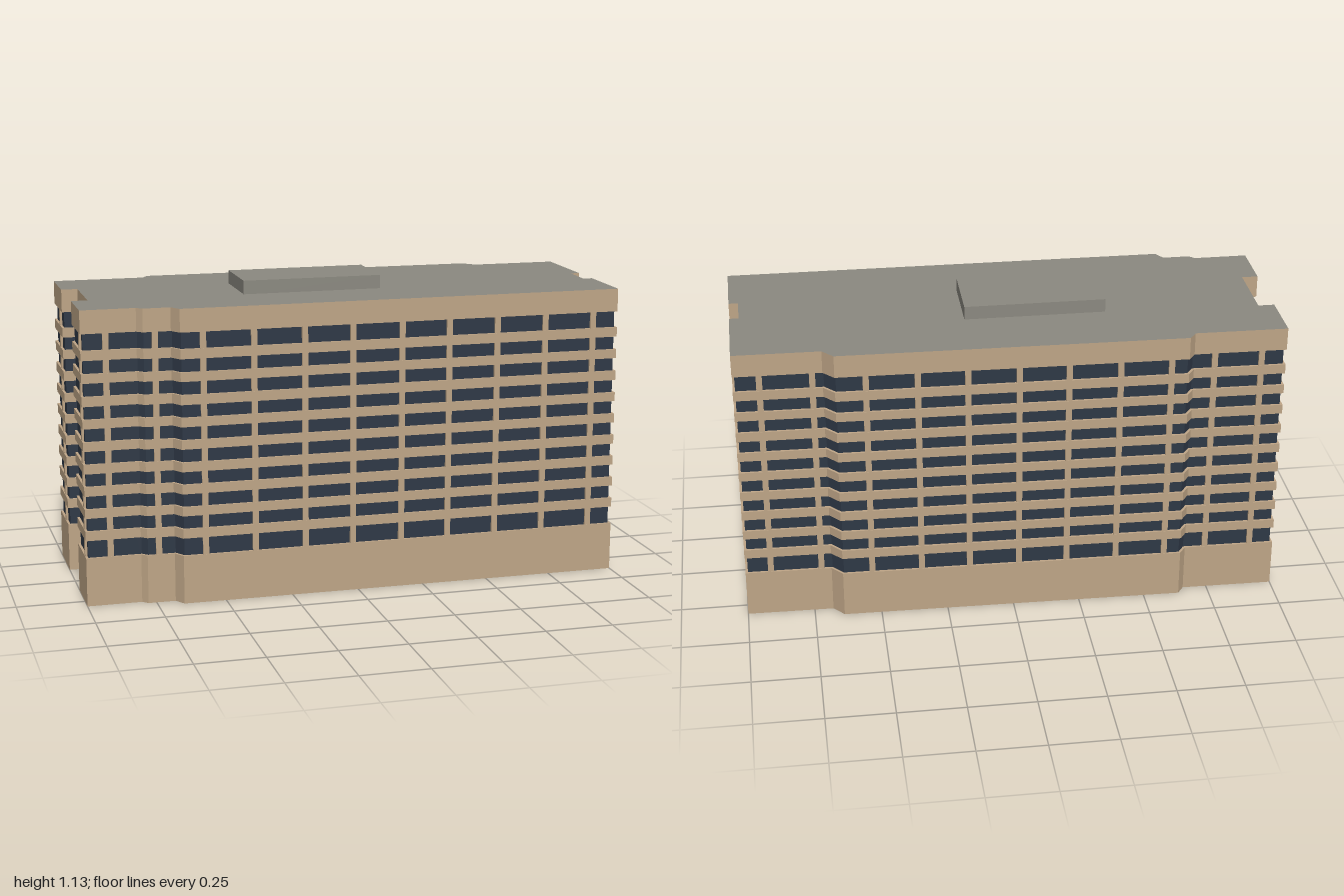
import * as THREE from 'three';

// Plan outline as [x, z], starting at the front right corner of the drawing
const outline = [
  [-1, 0.31], [-0.8, 0.31], [-0.78, 0.33], [-0.68, 0.33], [-0.655, 0.37], [1, 0.378],
  [1, 0.125], [0.965, 0.125], [0.965, -0.005], [1, -0.005], [1, -0.31], [0.68, -0.315],
  [0.64, -0.36], [-0.635, -0.38], [-0.66, -0.345], [-1, -0.35],
  [-1, -0.145], [-0.94, -0.145], [-0.94, 0.11], [-1, 0.11],
];

// Bottom and top of each window row
const rows = [
  [0.18, 0.245], [0.28, 0.328], [0.362, 0.41], [0.445, 0.492], [0.527, 0.575],
  [0.609, 0.657], [0.691, 0.738], [0.774, 0.822], [0.856, 0.904], [0.94, 1.0],
];
const roofY = 1.085;

// Moves every edge of the outline inwards by d, with mitred corners
function inset(points, d) {
  const n = points.length;
  const normal = (a, b) => {
    const dx = b[0] - a[0], dz = b[1] - a[1], l = Math.hypot(dx, dz);
    return [dz / l, -dx / l];
  };
  return points.map((p, i) => {
    const a = normal(points[(i + n - 1) % n], p);
    const b = normal(p, points[(i + 1) % n]);
    const k = d / (1 + a[0] * b[0] + a[1] * b[1]);
    return [p[0] + (a[0] + b[0]) * k, p[1] + (a[1] + b[1]) * k];
  });
}

// Upright prism over a plan
function prism(points, y0, y1) {
  const shape = new THREE.Shape(points.map(([x, z]) => new THREE.Vector2(x, -z)));
  const geo = new THREE.ExtrudeGeometry(shape, { depth: y1 - y0, bevelEnabled: false });
  return geo.rotateX(-Math.PI / 2).translate(0, y0, 0);
}

// Extent of the plan along the other axis, where the given axis equals v
function span(axis, v) {
  const hits = [];
  outline.forEach((p, i) => {
    const q = outline[(i + 1) % outline.length];
    if ((p[axis] - v) * (q[axis] - v) >= 0) return;
    const t = (v - p[axis]) / (q[axis] - p[axis]);
    hits.push(p[1 - axis] + t * (q[1 - axis] - p[1 - axis]));
  });
  return [Math.min(...hits), Math.max(...hits)];
}

export function createModel() {
  const wall = new THREE.MeshStandardMaterial({ name: 'tan wall', color: 0xbea586 });
  const glass = new THREE.MeshStandardMaterial({ name: 'dark glass', color: 0x2e3846 });
  const roof = new THREE.MeshStandardMaterial({ name: 'grey roof', color: 0x8b8980 });

  const model = new THREE.Group();
  model.name = 'officeBlock';
  const add = (name, geo, mat, parent = model) => {
    const mesh = new THREE.Mesh(geo, mat);
    mesh.name = name;
    parent.add(mesh);
    return mesh;
  };

  // Solid base and recessed glass core
  add('base', prism(outline, 0, rows[0][0]), wall);
  add('windowCore', prism(inset(outline, 0.009), 0.17, 1.01), glass);

  // Wall bands between the window rows
  const bands = new THREE.Group();
  bands.name = 'floorBands';
  model.add(bands);
  for (let i = 0; i < rows.length - 1; i++) {
    add('floorBand', prism(outline, rows[i][1], rows[i + 1][0]), wall, bands);
  }

  // Pillars, each built as a cross wall that shows at both opposite faces
  const pillars = new THREE.Group();
  pillars.name = 'pillars';
  model.add(pillars);
  const y0 = rows[0][0], y1 = 1.0, width = 0.022;
  const addPillars = (axis, positions) => positions.forEach((v) => {
    const [a, b] = span(axis, v);
    const length = b - a - 0.002, mid = (a + b) / 2;
    const geo = axis === 0
      ? new THREE.BoxGeometry(width, y1 - y0, length)
      : new THREE.BoxGeometry(length, y1 - y0, width);
    const mesh = add(axis === 0 ? 'longSidePillar' : 'endPillar', geo, wall, pillars);
    mesh.position.set(axis === 0 ? v : mid, (y0 + y1) / 2, axis === 0 ? mid : v);
  });
  addPillars(0, [-0.91, -0.737, -0.572, -0.387, -0.2, -0.02, 0.165, 0.345, 0.53, 0.717, 0.905]);
  addPillars(1, [0.27, -0.22]);

  // Top wall, roof surface and plant room
  add('topWall', prism(outline, 1.0, roofY - 0.004), wall);
  add('roofPlate', prism(outline, roofY - 0.004, roofY), [roof, wall]);
  const room = add('plantRoom', new THREE.BoxGeometry(0.52, 0.055, 0.255), roof);
  room.position.set(-0.11, roofY + 0.0225, 0.005);

  return model;
}
